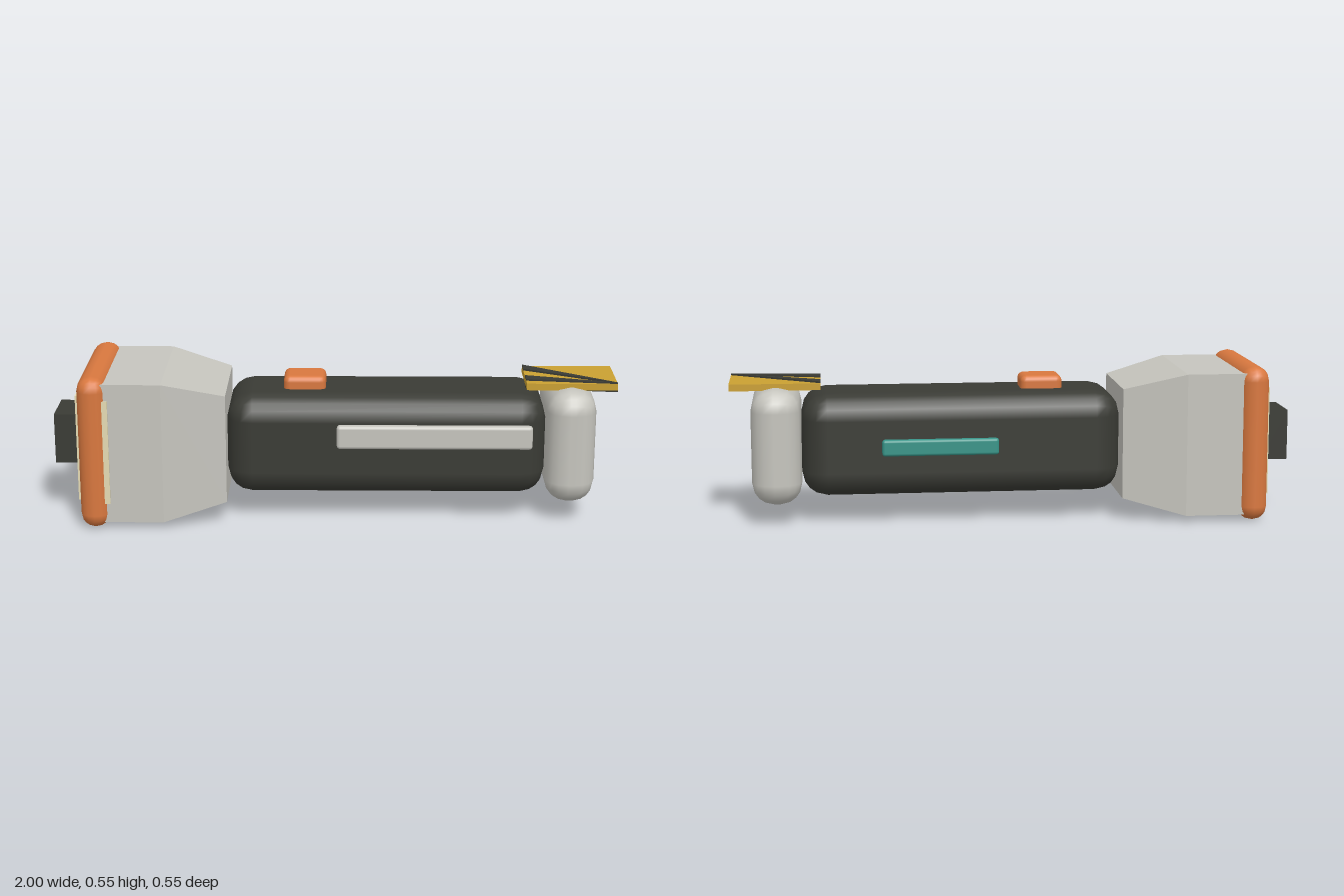
import * as THREE from 'three';
import { RoundedBoxGeometry } from 'three/addons/geometries/RoundedBoxGeometry.js';

const mat = (name, color) => {
  const m = new THREE.MeshStandardMaterial({ color });
  m.name = name;
  return m;
};

export function createModel() {
  const group = new THREE.Group();
  group.name = 'flashlight';
  const orange = mat('orange', 0xd9783f);
  const grey = mat('pale grey', 0xc6c5be);
  const dark = mat('charcoal', 0x3a3b35);
  const cream = mat('cream', 0xe6dcb4);
  const gold = mat('gold', 0xcaa032);
  const teal = mat('teal', 0x379488);
  const CY = 0.276; // height of the long axis

  const add = (name, geometry, material) => {
    const mesh = new THREE.Mesh(geometry, material);
    mesh.name = name;
    group.add(mesh);
    return mesh;
  };
  // Box between two limits on each axis, rounded when a radius is given
  const block = (name, material, [x0, x1], [y0, y1], [z0, z1], radius = 0) => {
    const size = [x1 - x0, y1 - y0, z1 - z0];
    const g = radius ? new RoundedBoxGeometry(...size, 2, radius) : new THREE.BoxGeometry(...size);
    g.translate((x0 + x1) / 2, (y0 + y1) / 2, (z0 + z1) / 2);
    return add(name, g, material);
  };
  // Square section along x, with a half width at each end
  const squareSection = (name, x0, x1, half0, half1, open) => {
    let g = new THREE.CylinderGeometry(half0 * Math.SQRT2, half1 * Math.SQRT2, x1 - x0, 4, 1, open);
    g.rotateY(Math.PI / 4).rotateZ(Math.PI / 2).translate((x0 + x1) / 2, CY, 0);
    g = g.toNonIndexed();
    g.computeVertexNormals();
    return add(name, g, grey);
  };

  // Head: bezel, lens, front block and tapered housing
  block('bezel', orange, [-0.895, -0.79], [0, 0.552], [-0.276, 0.276], 0.052);
  block('lens', cream, [-0.907, -0.85], [0.085, 0.47], [-0.192, 0.192]);
  block('frontBlock', dark, [-1, -0.9], [0.19, 0.37], [-0.09, 0.09]);
  squareSection('headHousing', -0.84, -0.6, 0.253, 0.253, false);
  squareSection('headTaper', -0.6, -0.38, 0.253, 0.196, false);

  // Narrow seals between the bezel and the housing
  block('sideSeal', cream, [-0.81, -0.786], [0.095, 0.47], [0.25, 0.261]);
  block('bottomSeal', cream, [-0.81, -0.786], [0.016, 0.026], [-0.2, 0.185]);

  // Handle with its switch and side strips
  block('handle', dark, [-0.38, 0.75], [0.094, 0.46], [-0.184, 0.184], 0.09);
  block('switchButton', orange, [-0.18, -0.03], [0.44, 0.506], [-0.07, 0.066], 0.022);
  block('gripStrip', grey, [0.01, 0.698], [0.283, 0.368], [0.181, 0.214], 0.012);
  block('indicatorStrip', teal, [0.06, 0.47], [0.248, 0.306], [-0.206, -0.176], 0.01);

  // Tail cap
  block('tailCap', grey, [0.75, 0.926], [0.07, 0.484], [-0.207, 0.207], 0.08);

  // Tag plate with wedge stripes fanning out from one corner
  block('tagPlate', gold, [0.68, 1], [0.474, 0.498], [-0.115, 0.113]);
  const stripe = (name, zA, zB, y) => {
    const s = new THREE.Shape([
      new THREE.Vector2(0.68, -zA),
      new THREE.Vector2(0.68, -zB),
      new THREE.Vector2(1, -0.113),
    ]);
    const g = new THREE.ExtrudeGeometry(s, { depth: 0.006, bevelEnabled: false });
    g.rotateX(-Math.PI / 2).translate(0, y, 0);
    add(name, g, dark);
  };
  stripe('tagStripeBack', -0.112, -0.055, 0.498);
  stripe('tagStripeFront', 0.025, 0.075, 0.498);
  stripe('tagStripeUnder', 0.025, 0.075, 0.468);

  return group;
}
